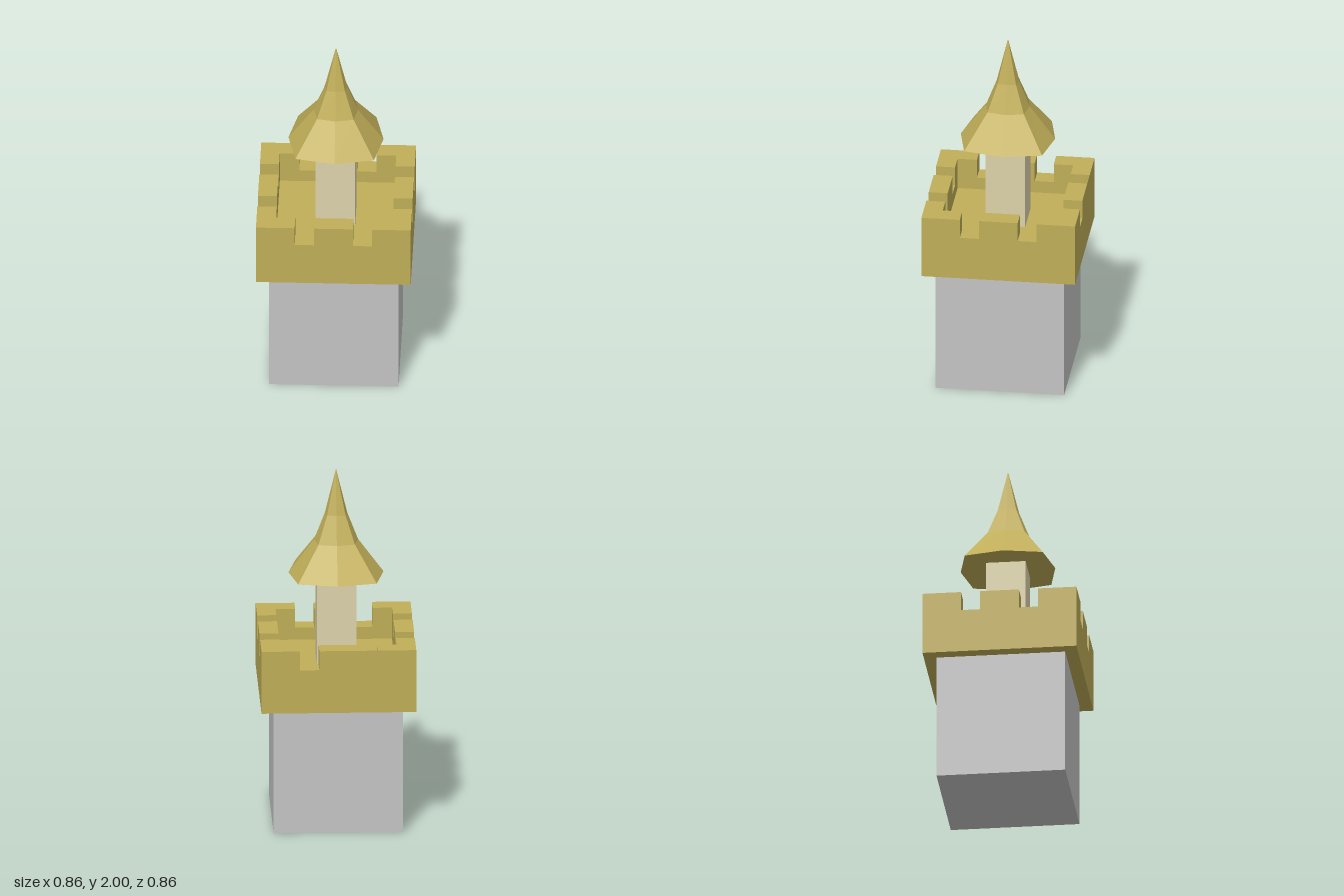
import * as THREE from 'three';

export function createModel() {
  const model = new THREE.Group();
  model.name = 'castleTower';

  const mat = (name, color) => {
    const m = new THREE.MeshStandardMaterial({ color, flatShading: true });
    m.name = name;
    return m;
  };
  const gold = mat('gold', 0xc0ae58);
  const stone = mat('greyStone', 0xc4c4c4);
  const pale = mat('paleStone', 0xdcd3aa);
  const sheet = mat('goldSheet', 0xc0ae58);
  sheet.side = THREE.DoubleSide;

  const add = (name, geometry, material, parent = model) => {
    const mesh = new THREE.Mesh(geometry, material);
    mesh.name = name;
    parent.add(mesh);
    return mesh;
  };
  // Box given by its half width and its lower and upper heights
  const block = (name, half, y0, y1, material) => {
    const mesh = add(name, new THREE.BoxGeometry(half * 2, y1 - y0, half * 2), material);
    mesh.position.y = (y0 + y1) / 2;
  };
  // Plan outline raised between two heights
  const raise = (shape, y0, y1) =>
    new THREE.ExtrudeGeometry(shape, { depth: y1 - y0, bevelEnabled: false })
      .rotateX(-Math.PI / 2).translate(0, y0, 0);
  const outline = (pts) => new THREE.Shape(pts.map(([x, y]) => new THREE.Vector2(x, y)));
  const square = (r) => [[-r, -r], [r, -r], [r, r], [-r, r]];

  const OUT = 0.428, IN = 0.322, GAP0 = 0.108, GAP1 = 0.214;
  const FLOOR = 0.9, SILL = 0.97, TOP = 1.08;

  // Tower body, platform and turret shaft
  block('towerBody', 0.358, 0, 0.72, stone);
  block('platform', OUT, 0.72, FLOOR, gold);
  block('turretShaft', 0.11, FLOOR, 1.4, pale);

  // Low wall round the platform
  const ring = outline(square(OUT));
  ring.holes.push(outline(square(IN)));
  add('parapetWall', raise(ring, FLOOR, SILL), gold);

  // Battlements: an L-shaped corner and a straight middle piece per side
  const corner = raise(outline([
    [OUT, OUT], [GAP1, OUT], [GAP1, IN], [IN, IN], [IN, GAP1], [OUT, GAP1],
  ]), SILL, TOP);
  const middle = raise(outline([[-GAP0, IN], [GAP0, IN], [GAP0, OUT], [-GAP0, OUT]]), SILL, TOP);
  const battlements = new THREE.Group();
  battlements.name = 'battlements';
  model.add(battlements);
  for (let i = 0; i < 4; i++) {
    add('cornerMerlon', corner, gold, battlements).rotation.y = i * Math.PI / 2;
    add('middleMerlon', middle, gold, battlements).rotation.y = i * Math.PI / 2;
  }

  // Thin panel closing one gap at the back
  const panel = add('gapPanel', new THREE.PlaneGeometry(GAP1 - GAP0, TOP - SILL), sheet, battlements);
  panel.rotation.y = Math.PI;
  panel.position.set(-(GAP0 + GAP1) / 2, (SILL + TOP) / 2, -OUT);

  // Eight-sided flared roof: height, reach along the axes, reach at the corners
  const rings = [[1.4, 0.263, 0.217], [1.59, 0.122, 0.101], [1.745, 0.062, 0.051], [2, 0, 0]];
  const ringPoint = ([y, axis, diag], i) => {
    const a = i * Math.PI / 4;
    const r = i % 2 ? diag * Math.SQRT2 : axis;
    return [r * Math.sin(a), y, r * Math.cos(a)];
  };
  const pos = [];
  for (let i = 0; i < 8; i++) {
    for (let k = 0; k < 3; k++) {
      const a = ringPoint(rings[k], i), b = ringPoint(rings[k], i + 1);
      const c = ringPoint(rings[k + 1], i + 1), d = ringPoint(rings[k + 1], i);
      pos.push(...a, ...b, ...c);
      if (k < 2) pos.push(...a, ...c, ...d);
    }
    // Underside
    pos.push(0, 1.4, 0, ...ringPoint(rings[0], i + 1), ...ringPoint(rings[0], i));
  }
  const roof = new THREE.BufferGeometry();
  roof.setAttribute('position', new THREE.Float32BufferAttribute(pos, 3));
  roof.computeVertexNormals();
  add('turretRoof', roof, gold);

  return model;
}
